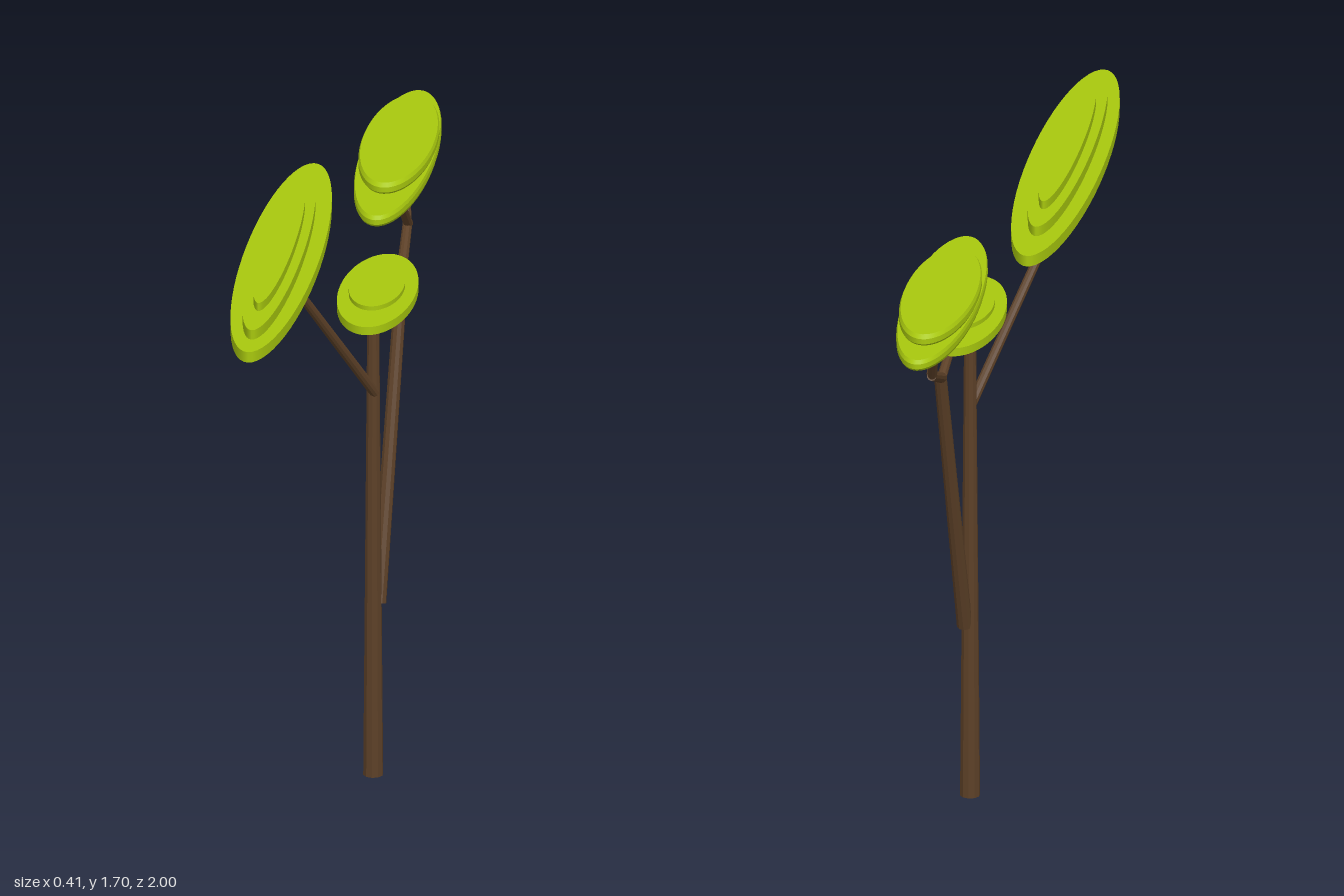
import * as THREE from 'three';

export function createModel() {
  const tree = new THREE.Group();
  tree.name = 'tree';
  const bark = new THREE.MeshStandardMaterial({ color: 0x5c4027, flatShading: true });
  const leaf = new THREE.MeshStandardMaterial({ color: 0xa8c80e });

  // Tapered limb between two points
  function limb(name, from, to, r0, r1) {
    const a = new THREE.Vector3(...from), b = new THREE.Vector3(...to);
    const dir = b.clone().sub(a);
    const mesh = new THREE.Mesh(new THREE.CylinderGeometry(r1, r0, dir.length(), 10), bark);
    mesh.position.copy(a).add(b).multiplyScalar(0.5);
    mesh.quaternion.setFromUnitVectors(new THREE.Vector3(0, 1, 0), dir.normalize());
    mesh.name = name;
    tree.add(mesh);
  }

  // Flat oval slab of foliage, optionally with chamfered rims
  function slab(parent, x, z, rx, rz, y0, y1, bevel = 0) {
    const h = y1 - y0;
    let geo;
    if (bevel) {
      const r = 1 - bevel, c = h * 0.28;
      // Doubled rim points keep the edges crisp
      const profile = [[0, 0], [r, 0], [r, 0], [1, c], [1, c], [1, h - c], [1, h - c], [r, h], [r, h], [0, h]];
      geo = new THREE.LatheGeometry(profile.map(p => new THREE.Vector2(...p)), 56);
    } else {
      geo = new THREE.CylinderGeometry(1, 1, h, 56).translate(0, h / 2, 0);
    }
    const mesh = new THREE.Mesh(geo, leaf);
    mesh.scale.set(rx, 1, rz);
    mesh.position.set(x, y0, z);
    mesh.name = 'foliageSlab';
    parent.add(mesh);
  }

  function canopy(name, slabs) {
    const group = new THREE.Group();
    group.name = name;
    slabs.forEach(s => slab(group, ...s));
    tree.add(group);
  }

  // Trunk and branches
  limb('trunk', [0.087, 0, -0.1], [0.087, 1.355, -0.1], 0.027, 0.016);
  limb('frontBranch', [0.092, 1.1, -0.095], [-0.125, 1.613, 0.27], 0.014, 0.012);
  limb('rearLimb', [0.1, 0.49, -0.11], [0.128, 1.305, -0.352], 0.021, 0.017);
  limb('lowerFork', [0.125, 1.295, -0.35], [0.11, 1.378, -0.13], 0.013, 0.011);
  limb('upperFork', [0.125, 1.295, -0.345], [0.115, 1.395, -0.582], 0.015, 0.013);
  limb('innerTwig', [0.118, 1.393, -0.572], [0.11, 1.582, -0.365], 0.013, 0.012);
  limb('outerTwig', [0.115, 1.39, -0.572], [0.083, 1.582, -0.718], 0.013, 0.012);

  // Canopies: x, z, rx, rz, bottom, top, bevel
  canopy('frontCanopy', [
    [-0.102, 0.333, 0.103, 0.665, 1.623, 1.653],
    [-0.104, 0.36, 0.065, 0.55, 1.652, 1.68],
    [-0.104, 0.355, 0.041, 0.42, 1.679, 1.703],
  ]);
  canopy('lowerCanopy', [
    [0.098, -0.108, 0.104, 0.258, 1.366, 1.389],
    [0.097, -0.1, 0.073, 0.15, 1.396, 1.408],
  ]);
  canopy('rearCanopy', [
    [0.093, -0.545, 0.101, 0.453, 1.575, 1.606, 0.025],
    [0.093, -0.57, 0.1, 0.323, 1.604, 1.637, 0.04],
  ]);
  return tree;
}
